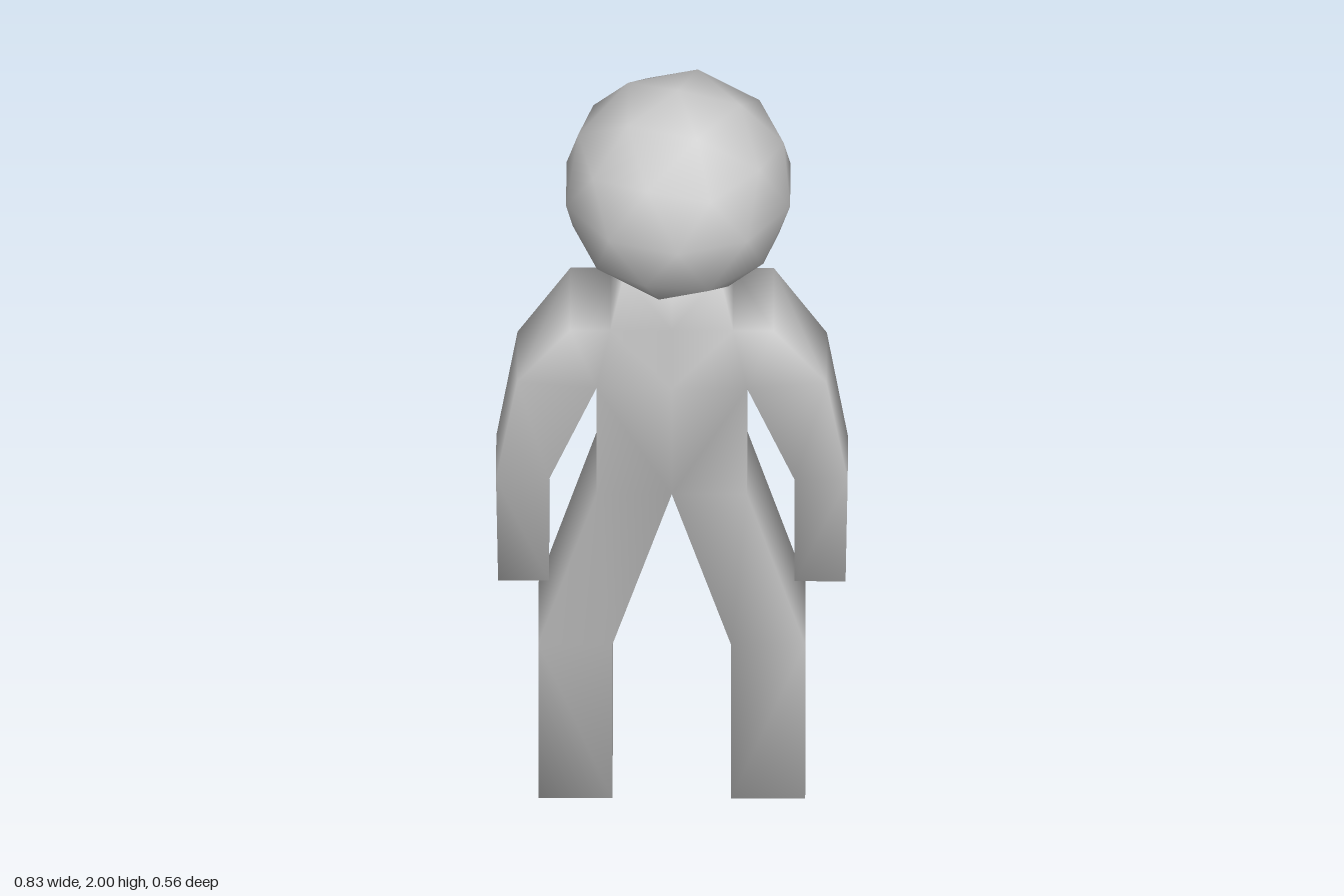
import * as THREE from 'three';

// Right-to-left half of the body outline: [x, y, front z, back z]
const points = [
  [0.14, 0, 0.1, -0.15], [0.315, 0, 0.1, -0.15],        // 0-1 foot
  [0.14, 0.45, 0.1, -0.15], [0.315, 0.45, 0.1, -0.15],  // 2-3 knee
  [0, 0.89, 0.1, -0.15], [0.178, 0.89, 0.1, -0.15],     // 4-5 crotch, hip
  [0, 1.2, 0.1, -0.15], [0.178, 1.2, 0.1, -0.15],       // 6-7 chest, armpit
  [0, 1.37, 0.1, -0.15], [0.145, 1.37, 0.1, -0.15],     // 8-9 neck base
  [0, 1.53, 0.1, -0.15], [0.113, 1.53, 0.1, -0.15],     // 10-11 neck top
  [0.24, 1.37, 0.1, -0.15], [0.365, 1.2, 0.075, -0.125], // 12-13 shoulder
  [0.29, 0.9, 0.055, -0.12], [0.415, 0.9, 0.055, -0.12], // 14-15 elbow
  [0.29, 0.6, 0.05, -0.115], [0.41, 0.6, 0.05, -0.115],  // 16-17 hand
];
// Front panels, and the outline joining front to back
const panels = [
  [0, 1, 3, 2], [2, 3, 5, 4], [4, 5, 7, 6], [6, 7, 9, 8],
  [8, 9, 11, 10], [7, 13, 12, 9], [14, 15, 13, 7], [16, 17, 15, 14],
];
const outline = [4, 2, 0, 1, 3, 5, 7, 14, 16, 17, 15, 13, 12, 9, 11, 10];

function bodyGeometry() {
  const positions = [];
  const indices = [];
  const lookup = new Map();
  // Shared vertices keep the shading smooth, also across the centre line
  const vertex = (i, back, side) => {
    const [x, y, zf, zb] = points[i];
    const key = `${i},${back},${x === 0 ? 0 : side}`;
    if (!lookup.has(key)) {
      lookup.set(key, positions.length / 3);
      positions.push(x * side, y, back ? zb : zf);
    }
    return lookup.get(key);
  };
  const quad = (corners, side) => {
    let [a, b, c, d] = corners.map(([i, back]) => vertex(i, back, side));
    if (side < 0) [b, d] = [d, b];
    indices.push(a, b, c, a, c, d);
  };
  for (const side of [1, -1]) {
    for (const p of panels) {
      quad(p.map(i => [i, 0]), side);
      quad([p[0], p[3], p[2], p[1]].map(i => [i, 1]), side);
    }
    for (let k = 0; k < outline.length - 1; k++) {
      const a = outline[k], b = outline[k + 1];
      quad([[a, 0], [a, 1], [b, 1], [b, 0]], side);
    }
  }
  const geometry = new THREE.BufferGeometry();
  geometry.setAttribute('position', new THREE.Float32BufferAttribute(positions, 3));
  geometry.setIndex(indices);
  geometry.computeVertexNormals();
  return geometry;
}

function headGeometry() {
  // Icosphere standing on a vertex, slightly flattened underneath
  const geometry = new THREE.IcosahedronGeometry(1, 1);
  geometry.rotateZ(-Math.atan(2 / (1 + Math.sqrt(5))));
  geometry.scale(0.278, 0.2755, 0.28);
  geometry.translate(0.015, 1.7245, 0);
  const pos = geometry.attributes.position;
  for (let i = 0; i < pos.count; i++) pos.setY(i, Math.max(pos.getY(i), 1.467));
  return geometry;
}

export function createModel() {
  const model = new THREE.Group();
  model.name = 'figure';
  const material = new THREE.MeshStandardMaterial({ color: 0xcccccc });

  const body = new THREE.Mesh(bodyGeometry(), material);
  body.name = 'body';
  const head = new THREE.Mesh(headGeometry(), material);
  head.name = 'head';

  model.add(body, head);
  return model;
}
